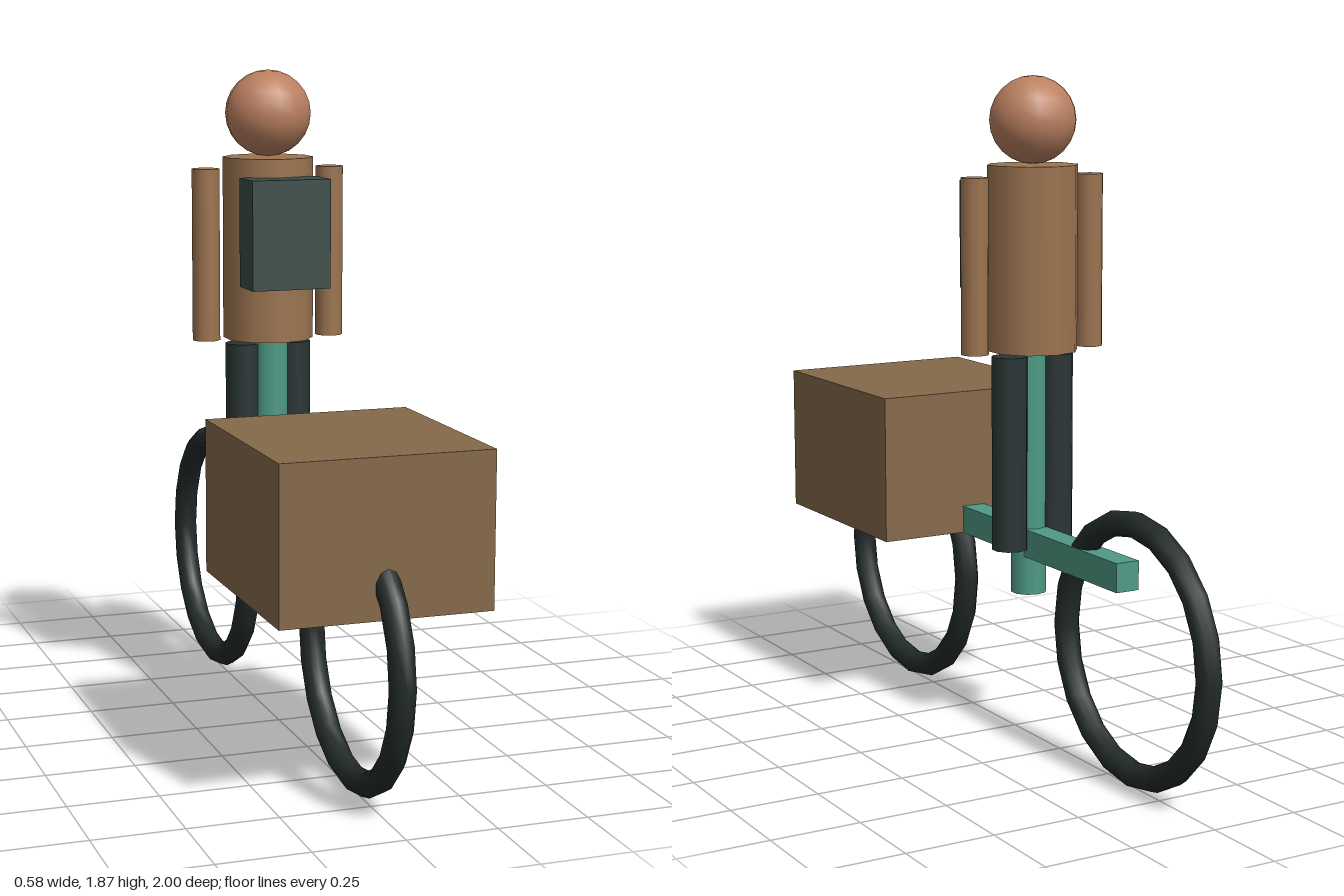
import * as THREE from 'three';

const mat = (color) => new THREE.MeshStandardMaterial({ color });

export function createModel() {
  const model = new THREE.Group();
  const rubber = mat(0x222a2a), frameGreen = mat(0x4f9a86), crate = mat(0x86694a);
  const skin = mat(0xba8060), coat = mat(0x9c7450), trousers = mat(0x2a3535), packGreen = mat(0x3a4c48);

  function add(name, geometry, material, x, y, z) {
    const mesh = new THREE.Mesh(geometry, material);
    mesh.name = name;
    mesh.position.set(x, y, z);
    model.add(mesh);
    return mesh;
  }
  // upright ten-sided cylinder between two heights
  const post = (name, r, y0, y1, x, z, material) =>
    add(name, new THREE.CylinderGeometry(r, r, y1 - y0, 10), material, x, (y0 + y1) / 2, z);

  // bicycle
  for (const [name, z] of [['frontWheel', 0.625], ['rearWheel', -0.625]]) {
    add(name, new THREE.TorusGeometry(0.341, 0.035, 10, 20), rubber, 0, 0.377, z).rotation.y = Math.PI / 2;
  }
  add('frameBeam', new THREE.BoxGeometry(0.07, 0.08, 1.18), frameGreen, 0, 0.57, 0);
  post('seatPost', 0.051, 0.42, 1.13, 0, -0.078, frameGreen);
  add('cargoBox', new THREE.BoxGeometry(0.58, 0.421, 0.622), crate, 0, 0.7415, 0.552);

  // rider
  post('torso', 0.128, 1.115, 1.63, 0, -0.098, coat);
  add('head', new THREE.SphereGeometry(0.121, 16, 12), skin, 0, 1.752, -0.098);
  for (const [side, s] of [['left', 1], ['right', -1]]) {
    post(side + 'Arm', 0.039, 1.115, 1.6, s * 0.184, -0.098, coat);
    post(side + 'Leg', 0.051, 0.555, 1.102, s * 0.074, -0.098, trousers);
  }
  add('chestPack', new THREE.BoxGeometry(0.227, 0.304, 0.119), packGreen, 0, 1.427, 0.054);

  return model;
}
